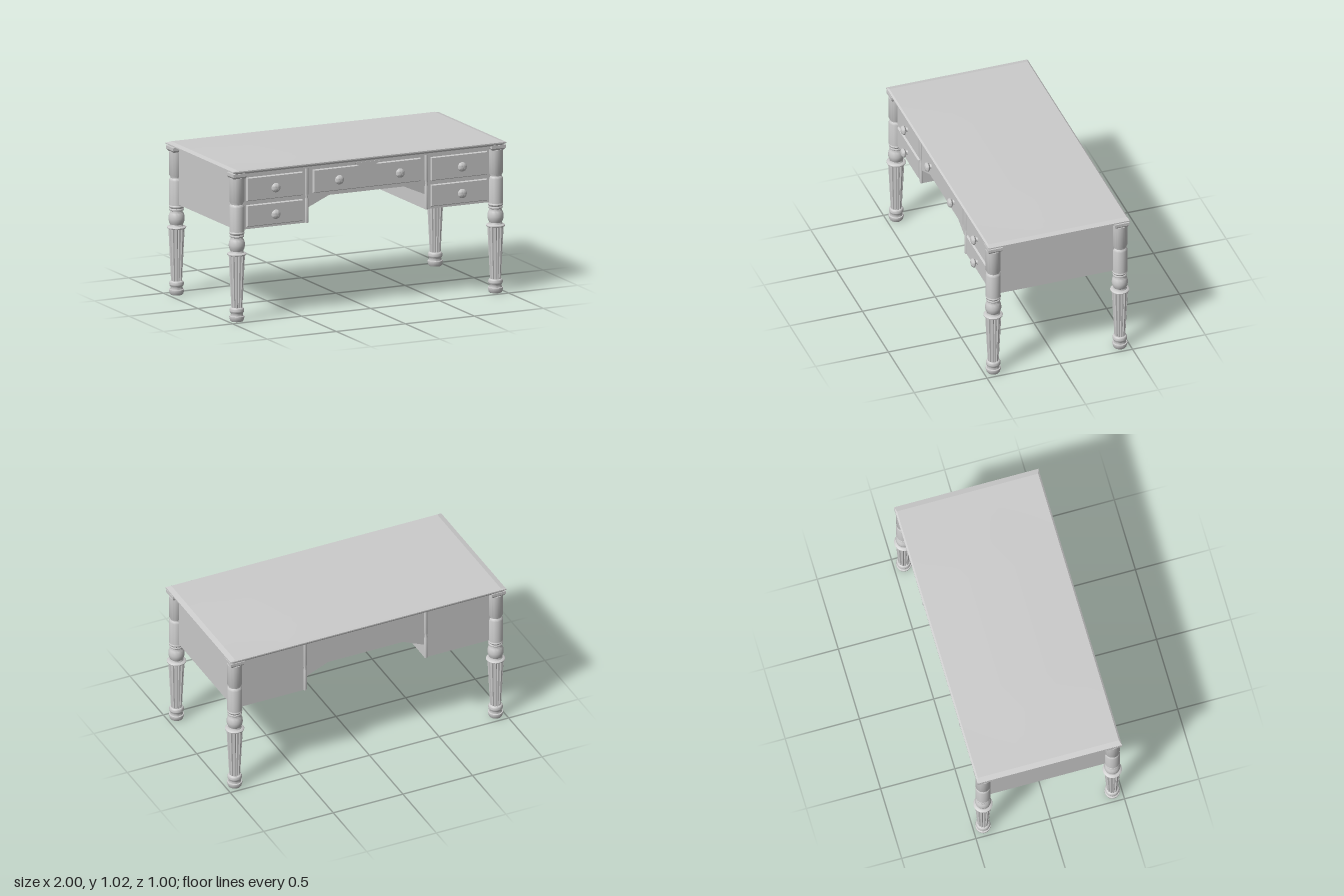
import * as THREE from 'three';
import { toCreasedNormals } from 'three/addons/utils/BufferGeometryUtils.js';

const material = new THREE.MeshStandardMaterial({ color: 0xcccccc });

function add(parent, name, geometry, x = 0, y = 0, z = 0) {
  const mesh = new THREE.Mesh(geometry, material);
  mesh.name = name;
  mesh.position.set(x, y, z);
  parent.add(mesh);
  return mesh;
}

const crease = (g) => toCreasedNormals(g, 0.6);

function lathe(points, segments = 28) {
  return crease(new THREE.LatheGeometry(points.map(([r, y]) => new THREE.Vector2(r, y)), segments));
}

// Box standing on y = 0 whose upper rectangle may differ from its lower one
function taperedBox(w0, d0, w1, d1, h) {
  const g = new THREE.BoxGeometry(1, h, 1).translate(0, h / 2, 0);
  const p = g.attributes.position;
  for (let i = 0; i < p.count; i++) {
    const top = p.getY(i) > h / 2;
    p.setX(i, p.getX(i) * (top ? w1 : w0));
    p.setZ(i, p.getZ(i) * (top ? d1 : d0));
  }
  g.computeVertexNormals();
  return g;
}

// Tapered shaft with scalloped flutes cut into its side
function flutedShaft(rBottom, rTop, h, flutes) {
  const g = new THREE.CylinderGeometry(rTop, rBottom, h, flutes * 4, 1);
  const p = g.attributes.position;
  for (let i = 0; i < p.count; i++) {
    const x = p.getX(i), z = p.getZ(i);
    const step = Math.round((Math.atan2(x, z) / (Math.PI * 2)) * flutes * 4 + flutes * 4) % 4;
    const k = step === 2 ? 0.84 : 1;
    p.setX(i, x * k);
    p.setZ(i, z * k);
  }
  return toCreasedNormals(g, 0.2);
}

function makeLeg() {
  const leg = new THREE.Group();
  add(leg, 'turnedFoot', lathe([
    [0, 0], [0.04, 0], [0.044, 0.006], [0.05, 0.028], [0.049, 0.035], [0.042, 0.037], [0.039, 0.05],
    [0.041, 0.056], [0.046, 0.062], [0.048, 0.07], [0.047, 0.08], [0.043, 0.088], [0.036, 0.092], [0, 0.092],
  ]));
  add(leg, 'flutedShaft', flutedShaft(0.036, 0.053, 0.35, 12), 0, 0.265, 0);
  add(leg, 'turnedBulb', lathe([
    [0, 0.438], [0.054, 0.438], [0.062, 0.442], [0.063, 0.448], [0.058, 0.453], [0.046, 0.456], [0.043, 0.462],
    [0.042, 0.467], [0.048, 0.48], [0.052, 0.495], [0.053, 0.507], [0.051, 0.525], [0.046, 0.54], [0.04, 0.551],
    [0.04, 0.557], [0.046, 0.56], [0.048, 0.566], [0.046, 0.572], [0.043, 0.574], [0.048, 0.58], [0.05, 0.587],
    [0.047, 0.594], [0.045, 0.598], [0, 0.598],
  ]));
  add(leg, 'upperColumn', lathe([
    [0, 0.596], [0.049, 0.596], [0.049, 0.758], [0.046, 0.768], [0.04, 0.776], [0.04, 0.78],
    [0.049, 0.796], [0.049, 0.952], [0, 0.952],
  ]));
  add(leg, 'capChamfer', taperedBox(0.08, 0.08, 0.1, 0.1, 0.015), 0, 0.95, 0);
  add(leg, 'capBlock', new THREE.BoxGeometry(0.1, 0.02, 0.1), 0, 0.974, 0);
  return leg;
}

// Half-round post with the same waist as the leg columns
function makePost() {
  return lathe([
    [0, 0.603], [0.011, 0.603], [0.012, 0.62], [0.012, 0.757], [0.008, 0.775],
    [0.012, 0.795], [0.012, 0.975], [0, 0.975],
  ], 16);
}

function makeCarcass() {
  const half = [[0.942, 0.985], [0.942, 0.603], [0.425, 0.603], [0.425, 0.702], [0.27, 0.77]];
  const mirrored = half.map(([x, y]) => [-x, y]).reverse();
  const shape = new THREE.Shape([...half, ...mirrored].map(([x, y]) => new THREE.Vector2(x, y)));
  return new THREE.ExtrudeGeometry(shape, { depth: 0.88, bevelEnabled: false }).translate(0, 0, -0.44);
}

// Very low crown rising to ridges along both centre lines
function makeCrown() {
  const g = new THREE.PlaneGeometry(1.91, 0.95, 20, 10).rotateX(-Math.PI / 2);
  const p = g.attributes.position;
  for (let i = 0; i < p.count; i++) {
    const u = 1 - Math.abs(p.getX(i)) / 0.955;
    const v = 1 - Math.abs(p.getZ(i)) / 0.475;
    p.setY(i, 0.0055 * Math.min(1, u * 2) * Math.min(1, v * 1.3));
  }
  g.computeVertexNormals();
  return g;
}

function makeDrawer(width, height, knobs) {
  const drawer = new THREE.Group();
  add(drawer, 'drawerFront', taperedBox(width, height, width - 0.012, height - 0.012, 0.012).rotateX(Math.PI / 2));
  const knob = lathe([
    [0.018, 0], [0.013, 0.006], [0.012, 0.012], [0.024, 0.018], [0.031, 0.026],
    [0.03, 0.034], [0.022, 0.042], [0.011, 0.046], [0, 0.047],
  ], 20).rotateX(Math.PI / 2);
  for (const x of knobs) add(drawer, 'knob', knob, x, 0, 0.01);
  return drawer;
}

export function createModel() {
  const desk = new THREE.Group();
  desk.name = 'desk';

  // Table top: undercut, bevelled edge and crowned surface
  add(desk, 'topUndercut', taperedBox(1.93, 0.955, 1.975, 0.97, 0.012), 0, 0.982, 0);
  add(desk, 'topEdge', new THREE.BoxGeometry(1.98, 0.008, 0.972), 0, 0.998, 0);
  add(desk, 'topBevel', taperedBox(1.98, 0.972, 1.91, 0.95, 0.008), 0, 1.002, 0);
  add(desk, 'topCrown', makeCrown(), 0, 1.0102, 0);

  add(desk, 'carcass', makeCarcass());

  // Rails under the top, front and back
  for (const s of [-1, 1]) {
    add(desk, 'topRail', new THREE.BoxGeometry(1.8, 0.018, 0.02), 0, 0.975, s * 0.442);
  }

  // Legs and posts in mirrored places
  const post = makePost();
  for (const sx of [-1, 1]) {
    for (const sz of [-1, 1]) {
      const leg = makeLeg();
      leg.name = `${sz > 0 ? 'front' : 'back'}${sx > 0 ? 'Left' : 'Right'}Leg`;
      leg.position.set(sx * 0.937, 0, sz * 0.435);
      desk.add(leg);
      add(desk, 'dividerPost', post, sx * 0.434, 0, sz * 0.44);
    }
  }

  // Drawers
  const drawers = [['centreDrawer', 0, 0.872, 0.78, 0.156, [-0.215, 0.225]]];
  for (const s of [-1, 1]) {
    const side = s > 0 ? 'left' : 'right';
    drawers.push([`${side}UpperDrawer`, s * 0.667, 0.867, 0.41, 0.158, [s * 0.008]]);
    drawers.push([`${side}LowerDrawer`, s * 0.667, 0.69, 0.41, 0.146, [s * 0.008]]);
  }
  for (const [name, x, y, w, h, knobs] of drawers) {
    const drawer = makeDrawer(w, h, knobs);
    drawer.name = name;
    drawer.position.set(x, y, 0.44);
    desk.add(drawer);
  }

  // Small drop at the middle of the front rail
  const drop = new THREE.Shape([[-0.09, 0.966], [-0.06, 0.94], [0.06, 0.94], [0.09, 0.966]]
    .map(([x, y]) => new THREE.Vector2(x, y)));
  add(desk, 'railDrop', new THREE.ExtrudeGeometry(drop, { depth: 0.014, bevelEnabled: false }), 0, 0, 0.44);

  return desk;
}
